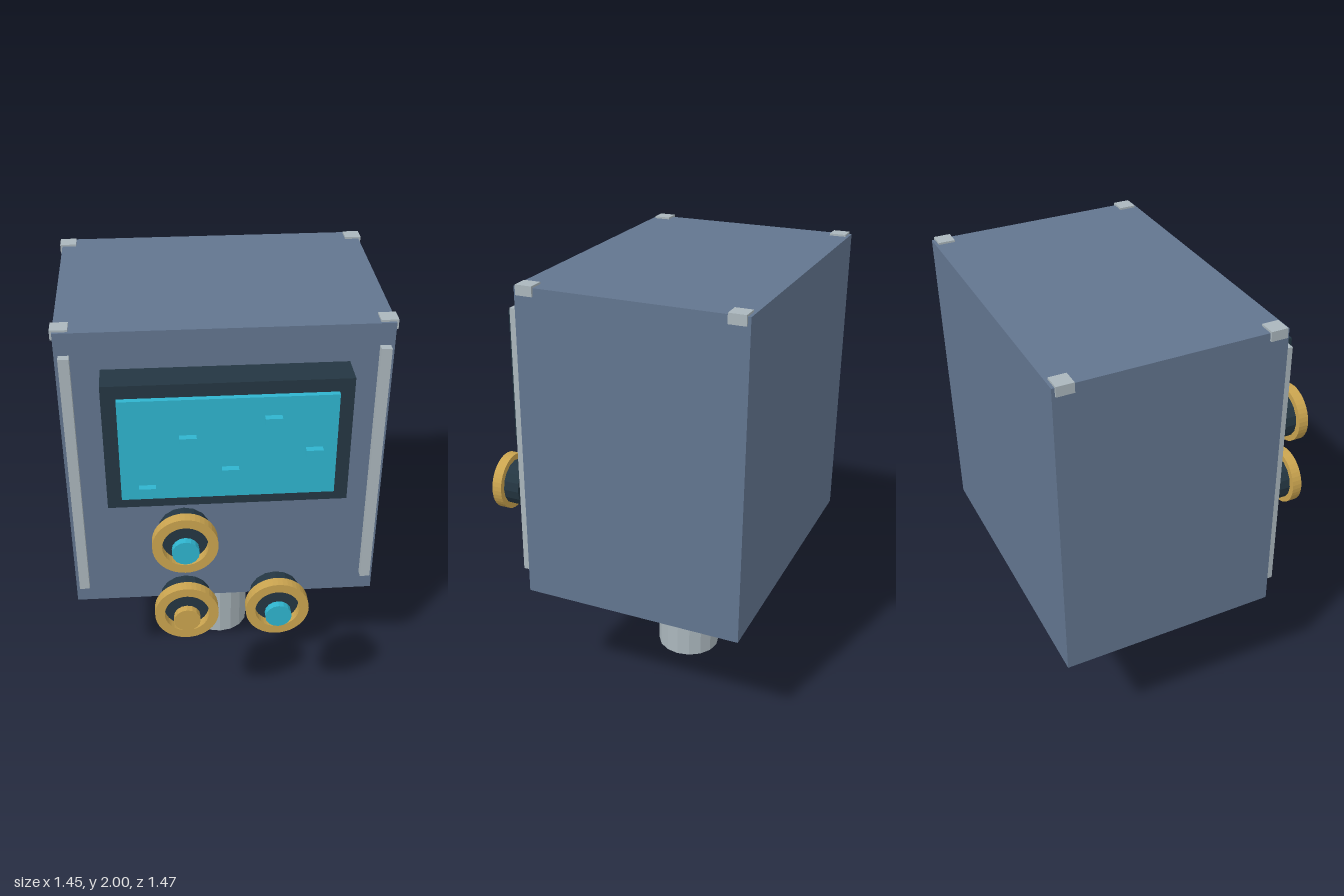
import * as THREE from 'three';

const mat = (name, color) => {
  const m = new THREE.MeshStandardMaterial({ color });
  m.name = name;
  return m;
};

export function createModel() {
  const slate = mat('slate blue', 0x62758f);
  const dark = mat('dark navy', 0x243642);
  const teal = mat('teal', 0x2fb4ce);
  const gold = mat('gold', 0xcaa44f);
  const metal = mat('light metal', 0xaab6bc);
  for (const m of [dark, gold, teal, metal]) m.flatShading = true;

  const model = new THREE.Group();
  model.name = 'controlBox';

  const add = (parent, name, geometry, material, x, y, z) => {
    const mesh = new THREE.Mesh(geometry, material);
    mesh.name = name;
    mesh.position.set(x, y, z);
    parent.add(mesh);
    return mesh;
  };
  // Box given by its centre in x and y, and its back and front in z
  const box = (name, material, x, y, w, h, back, front) =>
    add(model, name, new THREE.BoxGeometry(w, h, front - back), material, x, y, (back + front) / 2);
  // Disc facing the front
  const disc = (parent, name, material, r, back, front) =>
    add(parent, name, new THREE.CylinderGeometry(r, r, front - back, 16).rotateX(Math.PI / 2),
      material, 0, 0, (back + front) / 2);

  // Cabinet and stand
  box('cabinet', slate, 0, 1.279, 1.425, 1.424, -0.733, 0.271);
  add(model, 'stand', new THREE.CylinderGeometry(0.151, 0.151, 0.541, 16), metal, 0, 0.2705, -0.226);

  // Corner caps and front rails
  for (const side of [-1, 1]) {
    for (const z of [-0.682, 0.222]) {
      box('cornerCap', metal, side * 0.685, 1.978, 0.075, 0.044, z - 0.0375, z + 0.0375);
    }
    box('rail', metal, side * 0.672, 1.277, 0.046, 1.225, 0.26, 0.307);
  }

  // Display: housing, screen and small raised marks
  box('displayHousing', dark, 0, 1.516, 1.054, 0.606, 0.265, 0.418);
  box('screen', teal, 0, 1.515, 0.926, 0.488, 0.415, 0.443);
  const marks = [[-0.35, 1.327], [-0.172, 1.573], [0.007, 1.409], [0.187, 1.655], [0.365, 1.491]];
  for (const [x, y] of marks) box('screenMark', teal, x, y, 0.073, 0.033, 0.443, 0.474);

  // Knobs: base, open ring and cap floating in front of the panel
  const ringShape = new THREE.Shape().absarc(0, 0, 0.14, 0, Math.PI * 2);
  ringShape.holes.push(new THREE.Path().absarc(0, 0, 0.098, 0, Math.PI * 2, true));
  const ringGeometry = new THREE.ExtrudeGeometry(ringShape, { depth: 0.049, bevelEnabled: false, curveSegments: 20 });
  const knobs = [[-0.2, 1.19, teal], [-0.2, 0.817, gold], [0.2, 0.817, teal]];
  for (const [x, y, capMaterial] of knobs) {
    const knob = new THREE.Group();
    knob.name = 'knob';
    knob.position.set(x, y, 0);
    disc(knob, 'knobBase', dark, 0.112, 0.56, 0.645);
    add(knob, 'knobRing', ringGeometry, gold, 0, 0, 0.639);
    disc(knob, 'knobCap', capMaterial, 0.058, 0.701, 0.733);
    model.add(knob);
  }

  return model;
}
